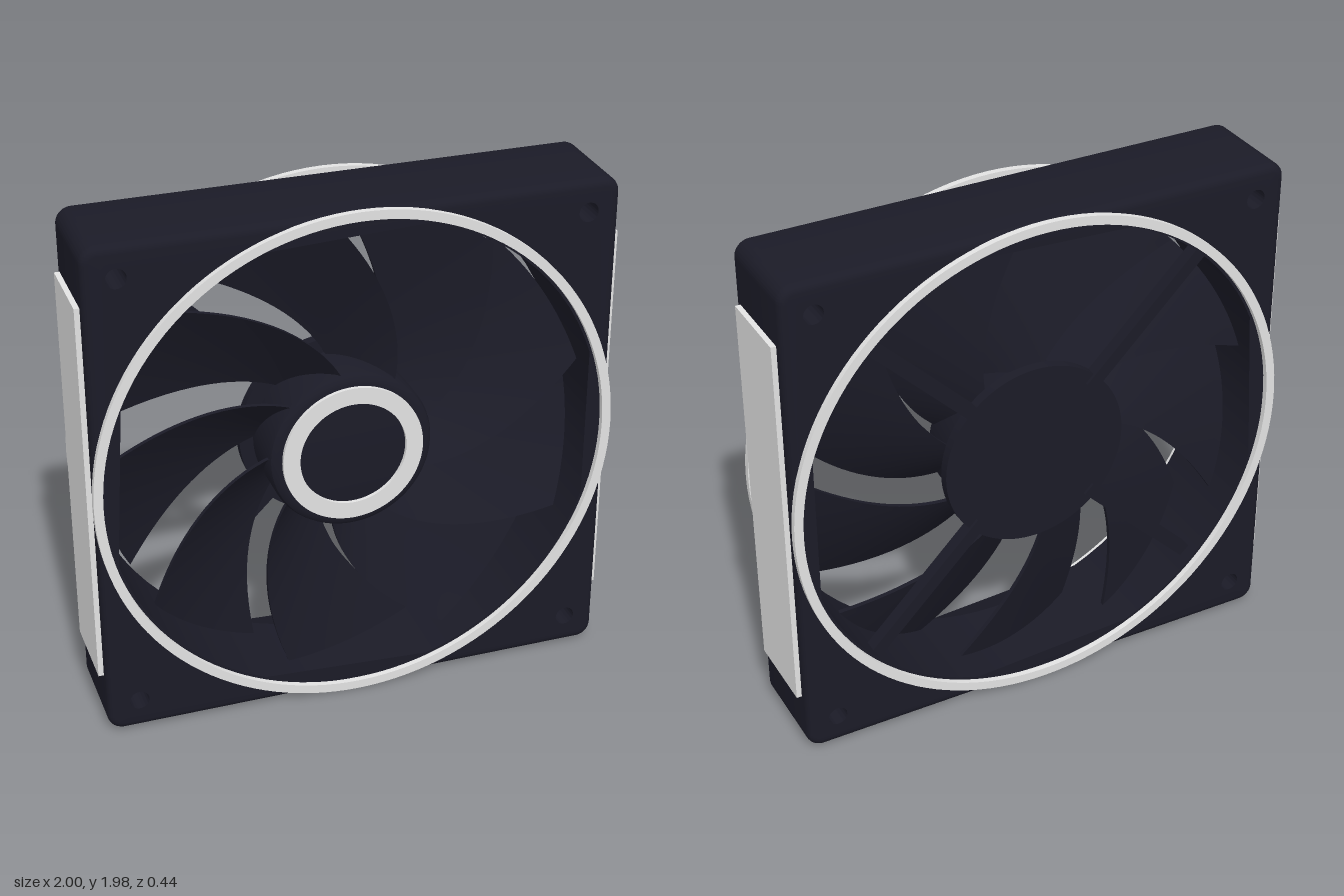
import * as THREE from 'three';
import { toCreasedNormals } from 'three/addons/utils/BufferGeometryUtils.js';

const dark = new THREE.MeshStandardMaterial({ name: 'darkPlastic', color: 0x1b1b27 });
const grey = new THREE.MeshStandardMaterial({ name: 'lightGrey', color: 0xe2e2e2 });

const CENTRE_Y = 0.99;
const BLADES = 9;

function add(parent, name, geometry, material) {
  const mesh = new THREE.Mesh(geometry, material);
  mesh.name = name;
  parent.add(mesh);
  return mesh;
}

// Turned part around the z axis; points are [radius, z], listed back to front on the outside
function turned(points, segments = 96) {
  const geo = new THREE.LatheGeometry(points.map(([r, z]) => new THREE.Vector2(r, z)), segments);
  geo.rotateX(Math.PI / 2);
  return toCreasedNormals(geo, 0.5);
}

function flatRing(inner, outer, z0, z1) {
  return turned([[inner, z0], [outer, z0], [outer, z1], [inner, z1], [inner, z0]], 128);
}

// Square housing with a large round opening and four screw holes
function frameGeometry() {
  const h = 0.98, r = 0.06, b = 0.03, depth = 0.4;
  // Each hole: x, y, radius and the reach that holds only its own vertices
  const holes = [[0, 0, 0.945, 1.08]];
  for (const x of [-0.86, 0.86]) for (const y of [-0.86, 0.86]) holes.push([x, y, 0.037, 0.09]);

  const shape = new THREE.Shape();
  const c = h - r;
  shape.absarc(c, c, r, 0, Math.PI / 2);
  shape.absarc(-c, c, r, Math.PI / 2, Math.PI);
  shape.absarc(-c, -c, r, Math.PI, Math.PI * 1.5);
  shape.absarc(c, -c, r, Math.PI * 1.5, Math.PI * 2);
  shape.closePath();
  // Cut the holes small, since the bevel widens them at the faces
  for (const [x, y, radius] of holes) {
    shape.holes.push(new THREE.Path().absarc(x, y, radius * 0.9, 0, Math.PI * 2, true));
  }
  const geo = new THREE.ExtrudeGeometry(shape, {
    depth: depth - 2 * b, bevelThickness: b, bevelSize: b, bevelOffset: -b,
    bevelSegments: 4, curveSegments: 40,
  });
  geo.translate(0, 0, b - depth / 2);

  // Keep the bevel on the outer edge only: bring all hole walls to their radius
  const pos = geo.attributes.position;
  for (let i = 0; i < pos.count; i++) {
    for (const [x, y, radius, reach] of holes) {
      const dx = pos.getX(i) - x, dy = pos.getY(i) - y, d = Math.hypot(dx, dy);
      if (d < reach) pos.setXY(i, x + dx * radius / d, y + dy * radius / d);
    }
  }
  return toCreasedNormals(geo, 0.6);
}

// Swept, pitched blade: a thin slab bent into polar coordinates
function bladeGeometry() {
  const geo = new THREE.BoxGeometry(1, 1, 0.018, 16, 18, 1);
  const pos = geo.attributes.position;
  for (let i = 0; i < pos.count; i++) {
    const u = pos.getX(i) + 0.5, t = pos.getY(i) + 0.5;
    const radius = 0.3 + 0.62 * t;
    const front = 56 + 48 * t - 9.7 * t * t;
    const rear = 95.5 + 44 * t - 10.8 * t * t;
    const a = THREE.MathUtils.degToRad(rear + (front - rear) * u);
    const z = 0.005 + 0.18 * (u - 0.5) - 0.06 * u * (1 - u) + pos.getZ(i);
    pos.setXYZ(i, radius * Math.cos(a), radius * Math.sin(a), z);
  }
  geo.computeVertexNormals();
  return geo;
}

export function createModel() {
  const model = new THREE.Group();
  model.name = 'coolingFan';
  const fan = new THREE.Group();
  fan.name = 'fanAssembly';
  fan.position.y = CENTRE_Y;
  model.add(fan);

  add(fan, 'frame', frameGeometry(), dark);

  // Trim rings on both faces
  add(fan, 'frontTrimRing', flatRing(0.955, 0.99, 0.198, 0.222), grey);
  add(fan, 'backTrimRing', flatRing(0.955, 0.99, -0.222, -0.198), grey);

  // Side panels
  for (const side of [1, -1]) {
    const panel = add(fan, side > 0 ? 'leftPanel' : 'rightPanel',
      new THREE.BoxGeometry(0.03, 1.5, 0.31), grey);
    panel.position.x = side * 0.985;
  }

  // Rotor: hub, hub ring and blades
  const rotor = new THREE.Group();
  rotor.name = 'rotor';
  fan.add(rotor);
  add(rotor, 'hub', turned([[0, -0.09], [0.315, -0.09], [0.315, 0.095], [0.308, 0.112],
    [0.295, 0.122], [0.28, 0.125], [0, 0.125]]), dark);
  add(rotor, 'hubRing', flatRing(0.205, 0.27, 0.12, 0.14), grey);
  const blade = bladeGeometry();
  for (let i = 0; i < BLADES; i++) {
    add(rotor, 'blade', blade, dark).rotation.z = i * Math.PI * 2 / BLADES;
  }

  // Motor mount and its four diagonal struts at the back
  add(fan, 'motorMount', turned([[0, -0.14], [0.365, -0.14], [0.365, -0.1], [0, -0.1]]), dark);
  for (let i = 0; i < 4; i++) {
    const arm = new THREE.Group();
    arm.name = 'strut';
    arm.rotation.z = Math.PI / 4 + i * Math.PI / 2;
    fan.add(arm);
    add(arm, 'strutBar', new THREE.BoxGeometry(0.66, 0.05, 0.05), dark).position.set(0.65, 0, -0.125);
  }
  return model;
}
